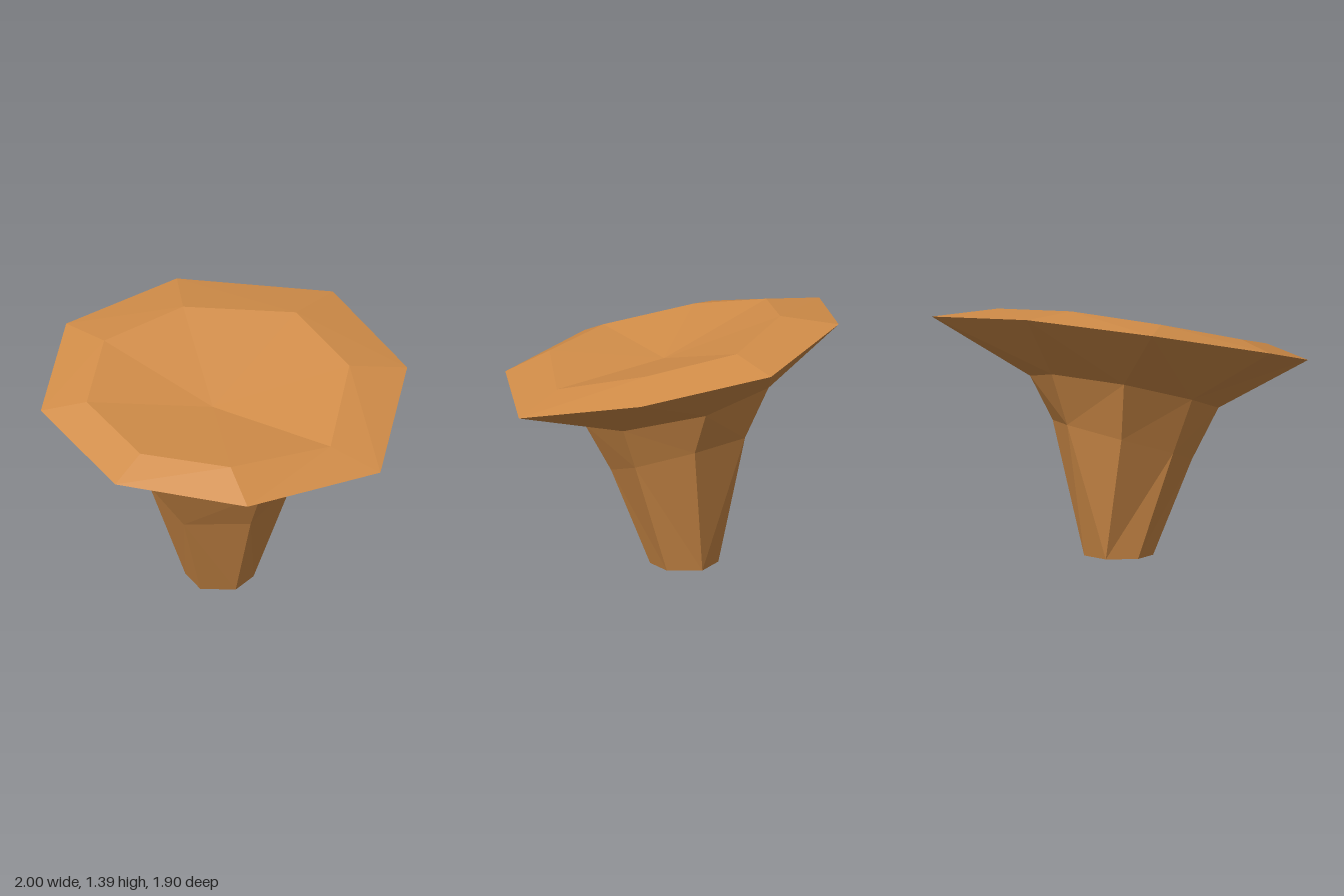
import * as THREE from 'three';

// Rings of [x, y, z], all starting at the front and turning towards +x
const foot = [[-0.05, 0, 0.105], [0.12, 0, 0.07], [0.185, 0, -0.11], [0.05, 0, -0.25], [-0.12, 0, -0.21], [-0.18, 0, -0.035]];
const waist = [[-0.13, 0.52, 0.3], [0.2, 0.62, 0.28], [0.37, 0.72, 0], [0.25, 0.74, -0.33],
  [-0.06, 0.68, -0.45], [-0.32, 0.59, -0.28], [-0.38, 0.51, 0.04]];
const collar = [[-0.18, 0.77, 0.43], [0.26, 0.85, 0.37], [0.49, 0.96, -0.02], [0.32, 1.03, -0.44],
  [-0.09, 1.0, -0.58], [-0.43, 0.89, -0.34], [-0.52, 0.79, 0.08]];
const rim = [[-0.59, 0.99, 0.74], [0.21, 0.965, 0.95], [0.87, 1.165, 0.49], [1, 1.3, -0.21],
  [0.41, 1.375, -0.81], [-0.29, 1.32, -0.95], [-0.88, 1.18, -0.55], [-1, 1.05, 0.14]];
const bowl = [[-0.5, 1.11, 0.52], [0.09, 1.07, 0.69], [0.57, 1.24, 0.35], [0.65, 1.34, -0.14],
  [0.2, 1.39, -0.55], [-0.3, 1.34, -0.65], [-0.7, 1.23, -0.38], [-0.78, 1.14, 0.11]];

const distance = (a, b) => Math.hypot(a[0] - b[0], a[1] - b[1], a[2] - b[2]);

// Joins two closed rings, possibly of different counts, along the shorter diagonals
function bridge(lower, upper) {
  const n = lower.length, m = upper.length, tris = [];
  let i = 0, j = 0;
  while (i < n || j < m) {
    const a = lower[i % n], b = upper[j % m];
    const a2 = lower[(i + 1) % n], b2 = upper[(j + 1) % m];
    if (j >= m || (i < n && distance(a2, b) <= distance(a, b2))) {
      tris.push(a, a2, b);
      i++;
    } else {
      tris.push(a, b2, b);
      j++;
    }
  }
  return tris;
}

// Closes a ring with a fan to a centre point
function fan(ring, centre) {
  return ring.flatMap((p, i) => [p, ring[(i + 1) % ring.length], centre]);
}

export function createModel() {
  const group = new THREE.Group();
  group.name = 'mushroom';
  const orange = new THREE.MeshStandardMaterial({ color: 0xd08c48, flatShading: true });
  orange.name = 'mushroom orange';

  const add = (name, tris) => {
    const geometry = new THREE.BufferGeometry();
    geometry.setAttribute('position', new THREE.Float32BufferAttribute(tris.flat(), 3));
    geometry.computeVertexNormals();
    const mesh = new THREE.Mesh(geometry, orange);
    mesh.name = name;
    group.add(mesh);
  };

  // Flaring stem with a closed foot
  add('stem', [...bridge(foot, waist), ...bridge(waist, collar)]);
  add('stemFoot', fan([...foot].reverse(), [0, 0, -0.07]));

  // Tilted funnel cap
  add('capUnderside', bridge(collar, rim));
  add('capLip', bridge(rim, bowl));
  add('capBowl', fan(bowl, [-0.12, 1.12, 0]));
  return group;
}
